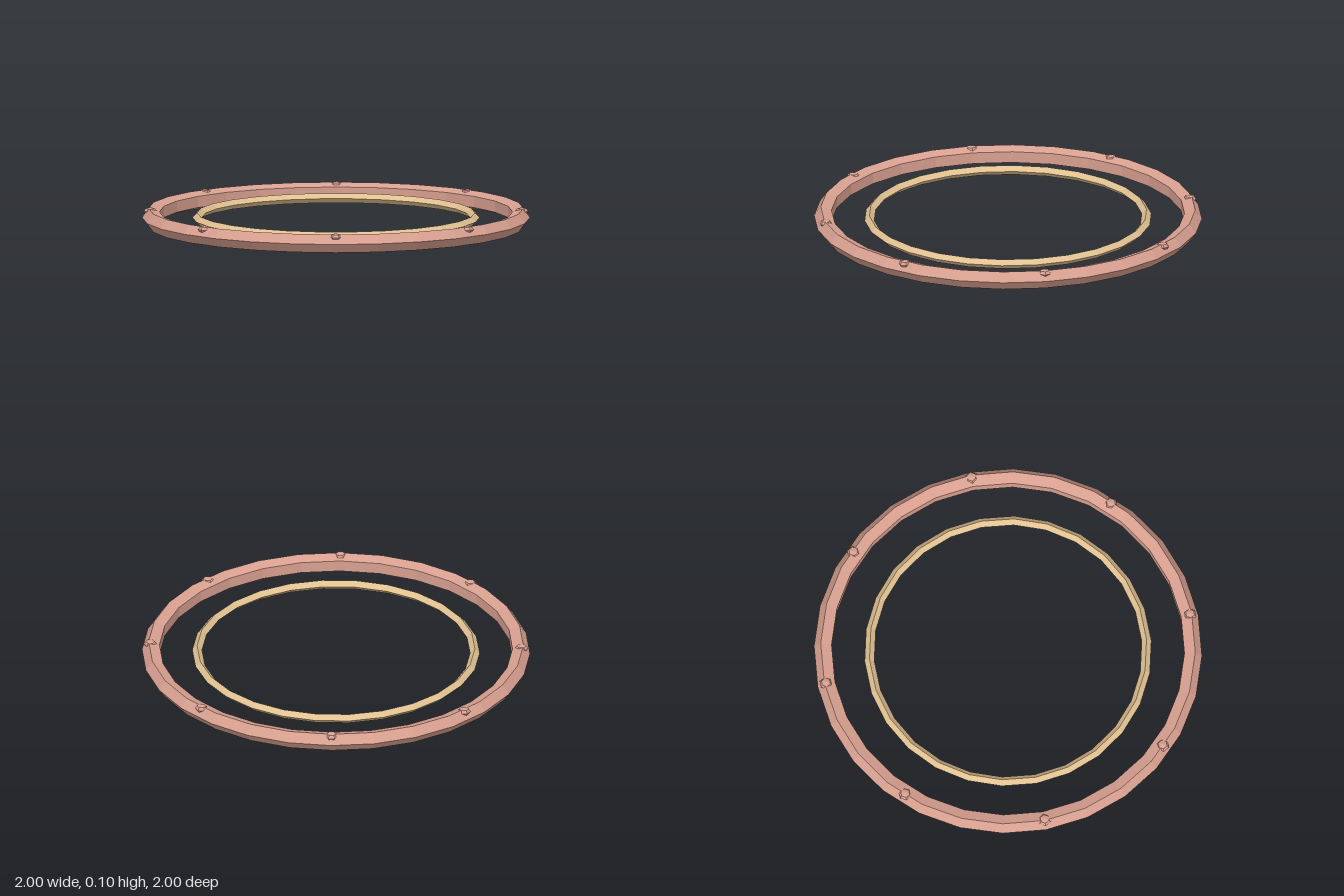
import * as THREE from 'three';

const material = (color) => new THREE.MeshStandardMaterial({ color, flatShading: true });

export function createModel() {
  const group = new THREE.Group();
  const rose = material(0xd8a090);
  const gold = material(0xe2c292);
  const midHeight = 0.0476;

  // Low-poly ring lying flat around the y axis
  function addRing(name, radius, tube, sides, segments, mat) {
    const geometry = new THREE.TorusGeometry(radius, tube, sides, segments);
    geometry.rotateX(-Math.PI / 2);
    const ring = new THREE.Mesh(geometry, mat);
    ring.name = name;
    ring.position.y = midHeight;
    group.add(ring);
  }
  addRing('outerRing', 0.95, 0.05, 5, 28, rose);
  addRing('innerRing', 0.716, 0.025, 4, 26, gold);

  // Flattened studs spaced evenly along the top of the outer ring
  const studGeometry = new THREE.SphereGeometry(0.034, 6, 4);
  studGeometry.scale(1, 0.6, 1);
  const studs = new THREE.Group();
  studs.name = 'studs';
  for (let i = 0; i < 8; i++) {
    const angle = (i / 8) * Math.PI * 2;
    const stud = new THREE.Mesh(studGeometry, rose);
    stud.name = 'stud' + (i + 1);
    stud.position.set(Math.cos(angle) * 0.957, 0.08, Math.sin(angle) * 0.957);
    studs.add(stud);
  }
  group.add(studs);

  return group;
}
